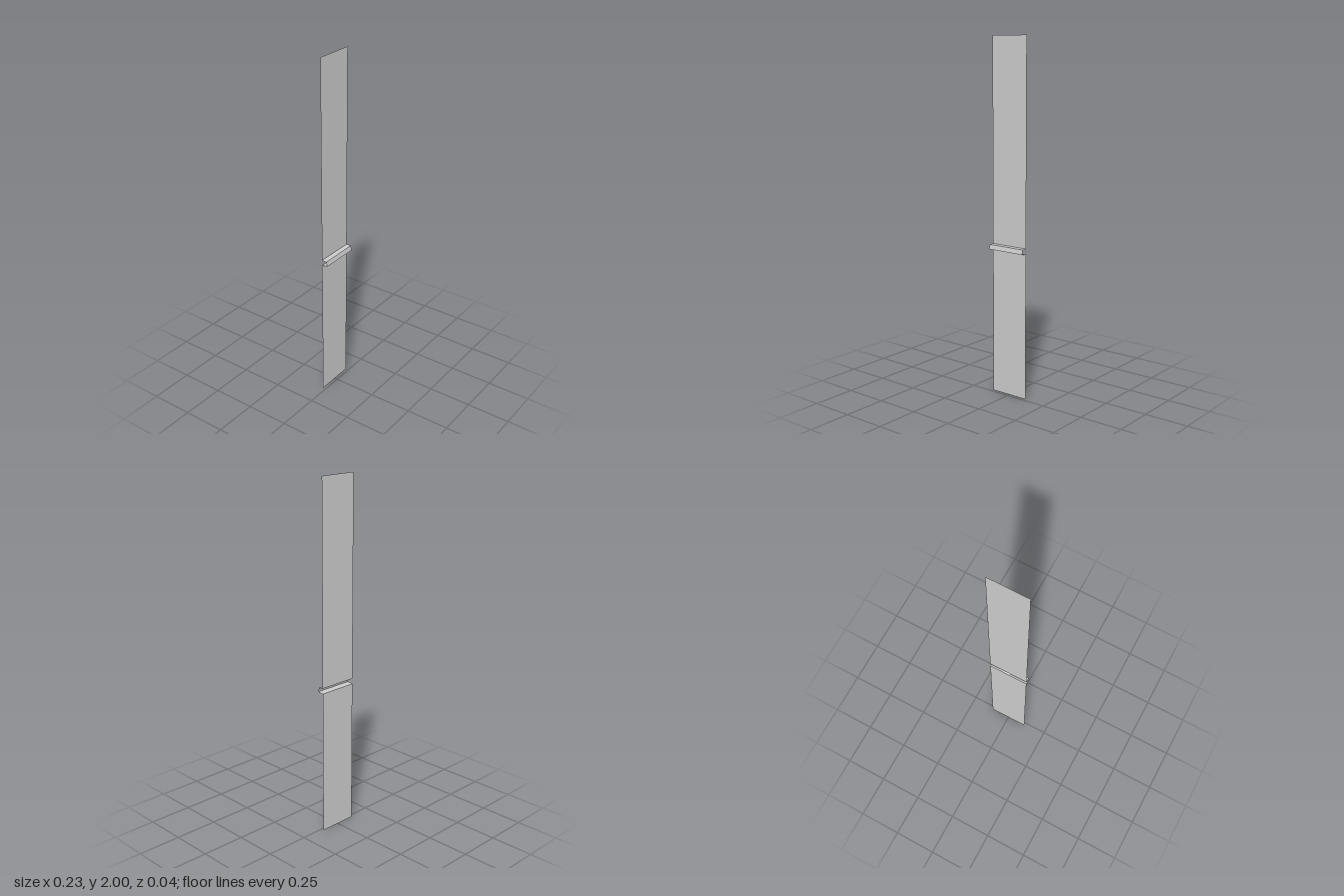
import * as THREE from 'three';

const HALF_WIDTH = 0.115;

// Thin open strip swept across x along a (z, y) profile, with crisp folds.
function foldedStrip(name, profile, material) {
  const positions = [];
  for (let i = 0; i < profile.length - 1; i++) {
    const [z0, y0] = profile[i];
    const [z1, y1] = profile[i + 1];
    const a = [-HALF_WIDTH, y0, z0], b = [HALF_WIDTH, y0, z0];
    const c = [HALF_WIDTH, y1, z1], d = [-HALF_WIDTH, y1, z1];
    positions.push(...a, ...d, ...c, ...a, ...c, ...b);
  }
  const geometry = new THREE.BufferGeometry();
  geometry.setAttribute('position', new THREE.Float32BufferAttribute(positions, 3));
  geometry.computeVertexNormals();
  const mesh = new THREE.Mesh(geometry, material);
  mesh.name = name;
  return mesh;
}

export function createModel() {
  const group = new THREE.Group();
  group.name = 'panelStrip';
  const material = new THREE.MeshStandardMaterial({
    color: 0xcccccc, flatShading: true, side: THREE.DoubleSide,
  });

  const back = -0.0175;
  const upperEdge = [back, 0.862];
  const lowerEdge = [back, 0.831];

  // Flat sheets above and below the ridge
  group.add(foldedStrip('upperPanel', [[back, 2], upperEdge], material));
  group.add(foldedStrip('lowerPanel', [lowerEdge, [back, 0]], material));

  // Projecting ridge: ledge, steep leaning face and underside
  group.add(foldedStrip('ridge',
    [upperEdge, [0.0105, 0.861], [0.0175, 0.835], lowerEdge], material));

  return group;
}
